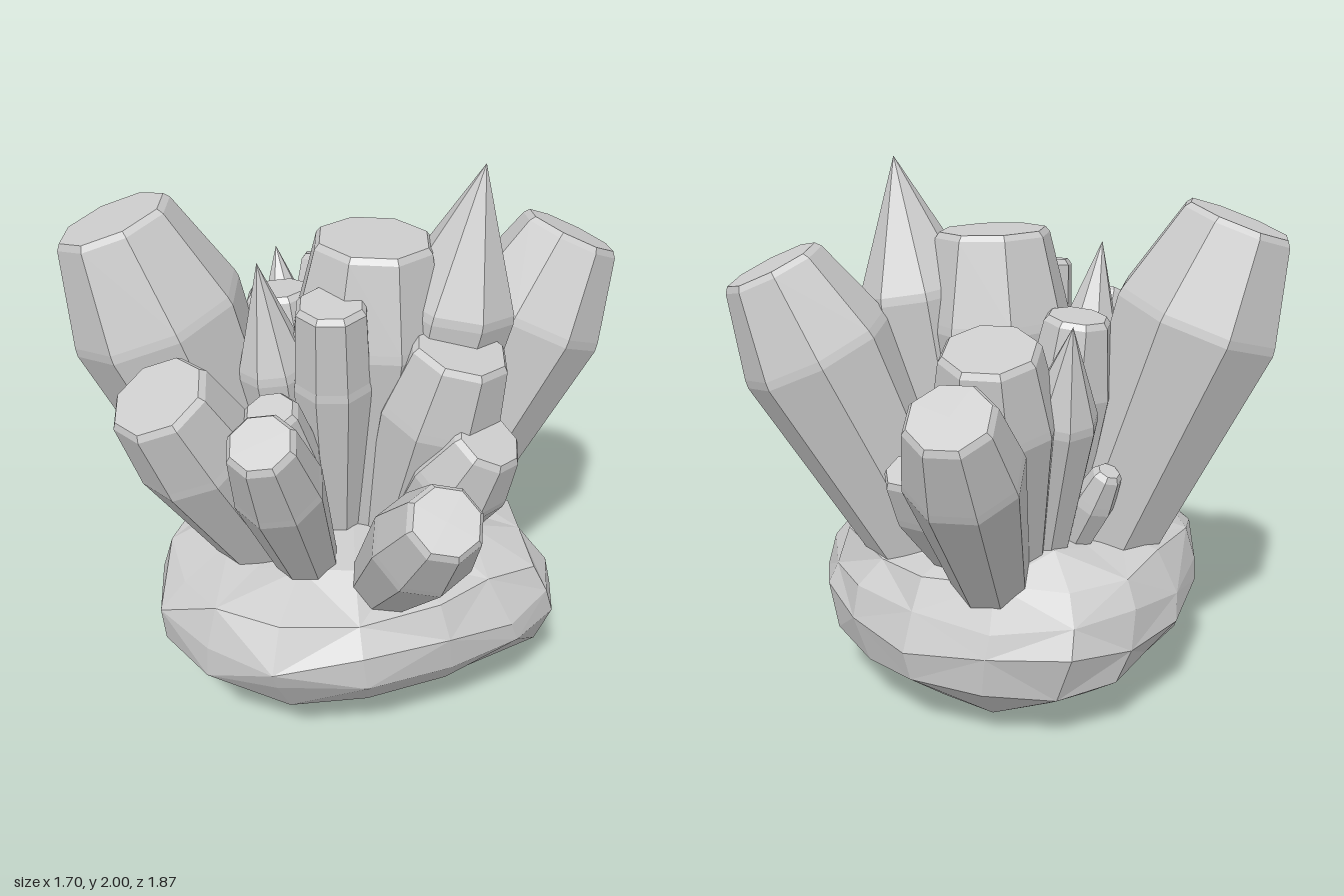
import * as THREE from 'three';

const material = new THREE.MeshStandardMaterial({ color: 0xcccccc, flatShading: true });

// Crystals as name, centre of the tip (x, y, z), radius at the shoulder, share of it left at the tip
const CRYSTALS = [
  ['largeLeaningCrystal', -0.67, 1.81, 0.37, 0.31, 0.64],
  ['largeRearCrystal', 0.66, 1.66, -0.54, 0.28, 0.63],
  ['centralCrystal', 0.13, 1.75, 0.04, 0.28, 0.72],
  ['rearMiddleCrystal', -0.2, 1.47, -0.47, 0.22, 0.74],
  ['rearOuterCrystal', -0.3, 1.36, -0.83, 0.2, 0.7],
  ['rearSmallCrystal', 0.04, 1.06, -0.62, 0.12, 0.65],
  ['frontLeaningCrystal', -0.32, 1.39, 0.72, 0.21, 0.78],
  ['frontMiddleCrystal', 0.1, 1.38, 0.84, 0.15, 0.7],
  ['frontOuterCrystal', 0.66, 1.21, 0.77, 0.17, 0.68],
  ['sideTallCrystal', 0.47, 1.44, 0.1, 0.22, 0.75],
  ['innerTallCrystal', 0.09, 1.61, 0.3, 0.14, 0.82],
  ['innerFrontCrystal', -0.04, 1.29, 0.5, 0.13, 0.68],
  ['sideLowCrystal', 0.61, 1.17, 0.19, 0.18, 0.66],
  ['sideSmallCrystal', 0.57, 1.01, -0.13, 0.09, 0.5],
  ['innerRearCrystal', -0.25, 1.49, 0, 0.16, 0.7],
  ['leftSmallCrystal', -0.42, 0.97, -0.06, 0.08, 0.6],
  ['tallPointedCrystal', 0.46, 2, -0.1, 0.22, 0],
  ['rearPointedCrystal', -0.4, 1.53, -0.29, 0.13, 0],
  ['frontPointedCrystal', -0.18, 1.7, 0.29, 0.13, 0],
];

// Every crystal grows out of the middle of the rock, widens to a shoulder, then tapers
function crystal([name, x, y, z, r, taper]) {
  const spread = Math.max(0.37, 0.6 - 0.33 * Math.hypot(x, z));
  const base = new THREE.Vector3(x * spread, 0.5, z * spread);
  const axis = new THREE.Vector3(x, y, z).sub(base);
  const h = axis.length(), shoulder = h * (taper ? 0.74 : 0.68);
  // Narrow bevels around the shoulder and the cut tip
  const profile = [[0, 0], [r * 0.62, 0], [r, shoulder - 0.015], [r - 0.005, shoulder + 0.015]];
  if (taper) profile.push([r * taper + 0.008, h - 0.02], [r * taper - 0.008, h]);
  profile.push([0, h]);
  const geometry = new THREE.LatheGeometry(profile.map(p => new THREE.Vector2(...p)), r > 0.12 ? 8 : 7);
  const mesh = new THREE.Mesh(geometry, material);
  mesh.name = name;
  mesh.position.copy(base);
  mesh.quaternion.setFromUnitVectors(new THREE.Vector3(0, 1, 0), axis.normalize());
  return mesh;
}

// Rock: one outline seen from above (x, z), repeated in rings (y, scale, shift z)
const OUTLINE = [[0.84, 0], [0.6, 0.42], [0.1, 0.8], [-0.4, 0.68], [-0.63, 0.1], [-0.47, -0.38], [0.08, -0.6], [0.62, -0.38]];
const RINGS = [
  [0.03, 0.34, -0.02], [0.1, 0.66, -0.03], [0.23, 0.89, -0.05], [0.38, 1, -0.01],
  [0.49, 0.98, 0.02], [0.61, 0.88, 0.03], [0.68, 0.62, 0.02],
];

function rock() {
  const n = 2 * OUTLINE.length, positions = [], index = [];
  const outline = new THREE.CatmullRomCurve3(OUTLINE.map(([x, z]) => new THREE.Vector3(x, 0, z)), true);
  RINGS.forEach(([y, scale, shift], j) => {
    for (let i = 0; i < n; i++) {
      const p = outline.getPoint(i / n);
      // Uneven facets, calmer around the widest rings
      const k = scale * (1 + Math.sin(i * 2.7 + j * 4.1) * (scale > 0.9 ? 0.012 : 0.035));
      positions.push(p.x * k, y + 0.02 * Math.sin(i * 1.9 + j * 2.3), p.z * k + shift);
    }
  });
  const bottom = RINGS.length * n, top = bottom + 1, last = bottom - n;
  positions.push(0.06, 0, -0.02, 0.05, 0.74, 0.02);
  for (let i = 0; i < n; i++) {
    const next = (i + 1) % n;
    for (let j = 0; j < RINGS.length - 1; j++) {
      const a = j * n + i, b = j * n + next, c = a + n, d = b + n;
      if ((i + j) % 2) index.push(a, c, b, b, c, d);
      else index.push(a, d, b, a, c, d);
    }
    index.push(bottom, i, next, top, last + next, last + i);
  }
  const geometry = new THREE.BufferGeometry();
  geometry.setAttribute('position', new THREE.Float32BufferAttribute(positions, 3));
  geometry.setIndex(index);
  geometry.computeVertexNormals();
  const mesh = new THREE.Mesh(geometry, material);
  mesh.name = 'rockBase';
  return mesh;
}

export function createModel() {
  const group = new THREE.Group();
  group.name = 'crystalCluster';
  group.add(rock(), ...CRYSTALS.map(crystal));
  return group;
}
